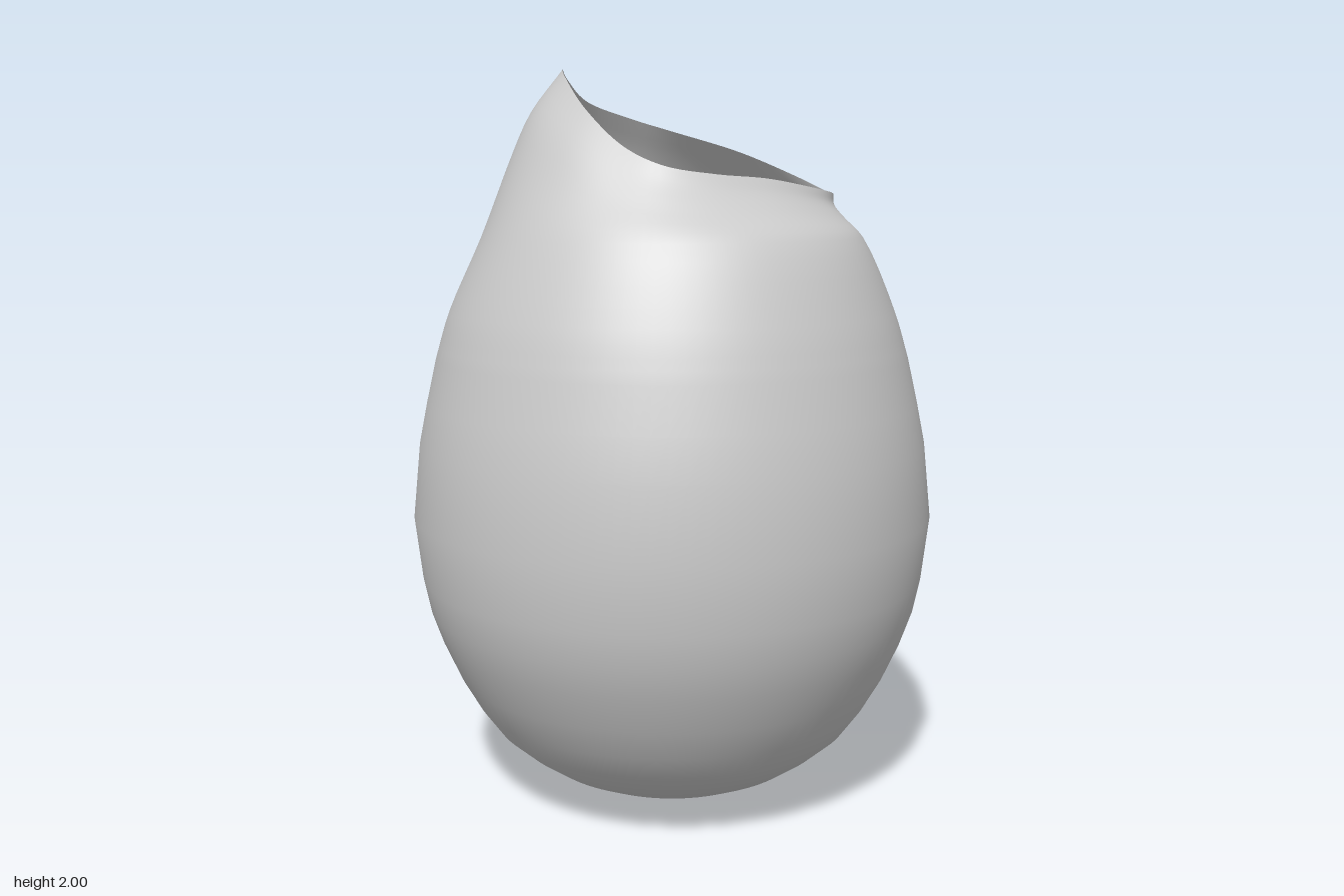
import * as THREE from 'three';

// Rim of the opening: x, y, z, running left-hand edge -> back -> right -> front
const RIM = [
  [-0.35, 1.925, -0.055], [-0.29, 1.88, -0.18], [-0.19, 1.845, -0.24], [0, 1.785, -0.31],
  [0.19, 1.71, -0.345], [0.31, 1.67, -0.31], [0.373, 1.675, -0.21], [0.38, 1.69, -0.09],
  [0.354, 1.71, 0.06], [0.30, 1.72, 0.20], [0.215, 1.74, 0.30], [0.11, 1.785, 0.325],
  [-0.035, 1.88, 0.305], [-0.19, 1.98, 0.22], [-0.245, 2.0, 0.165], [-0.31, 1.98, 0.075],
];

// Round lower body: radius, height
const BODY = [
  [0, 0], [0.1, 0.007], [0.2, 0.027], [0.29, 0.057], [0.36, 0.09], [0.43, 0.138], [0.497, 0.196],
  [0.55, 0.268], [0.6, 0.355], [0.645, 0.455], [0.675, 0.54], [0.694, 0.63], [0.714, 0.8],
  [0.694, 1.0], [0.672, 1.11], [0.645, 1.23],
];

const COLUMNS = 96;
const NECK_STEPS = 20;

// One vertical strip of points, from the base up to a point on the rim
function column(rim) {
  const angle = Math.atan2(rim.z, rim.x);
  const rimR = Math.hypot(rim.x, rim.z);
  const at = (r, y) => new THREE.Vector3(r * Math.cos(angle), y, r * Math.sin(angle));

  // Tall parts of the rim swell outwards, low parts dip inside the shoulder
  const bulge = 0.145 * (rim.y - 1.79);
  const shoulderR = 0.517, shoulderY = 1.555;
  const between = (t, k) => at(
    THREE.MathUtils.lerp(shoulderR, rimR, t) + bulge * k,
    THREE.MathUtils.lerp(shoulderY, rim.y, t));
  const neck = new THREE.CatmullRomCurve3([
    at(0.645, 1.23), at(0.607, 1.355), at(shoulderR, shoulderY),
    between(0.45, 0.8), between(0.75, 1), rim.clone(),
  ]);
  return [
    ...BODY.map(([r, y]) => at(r, y)),
    ...neck.getPoints(NECK_STEPS).slice(1),
  ];
}

export function createModel() {
  const group = new THREE.Group();
  group.name = 'openEggVessel';

  const rimCurve = new THREE.CatmullRomCurve3(
    RIM.map((p) => new THREE.Vector3(...p)), true);
  const columns = rimCurve.getSpacedPoints(COLUMNS).slice(0, COLUMNS).map(column);
  const rows = columns[0].length;

  // Join neighbouring strips into one smooth, closed-round skin
  const positions = columns.flat().flatMap((p) => [p.x, p.y, p.z]);
  const index = [];
  for (let j = 0; j < COLUMNS; j++) {
    const a = j * rows, b = ((j + 1) % COLUMNS) * rows;
    for (let i = 0; i < rows - 1; i++) {
      if (i > 0) index.push(a + i, a + i + 1, b + i);
      index.push(a + i + 1, b + i + 1, b + i);
    }
  }
  // Share a single vertex at the base
  const shared = index.map((v) => (v % rows === 0 ? 0 : v));

  const geometry = new THREE.BufferGeometry();
  geometry.setAttribute('position', new THREE.Float32BufferAttribute(positions, 3));
  geometry.setIndex(shared);
  geometry.computeVertexNormals();

  const shell = new THREE.Mesh(geometry, new THREE.MeshStandardMaterial({
    color: 0xcccccc, side: THREE.DoubleSide,
  }));
  shell.name = 'shell';
  group.add(shell);
  return group;
}
